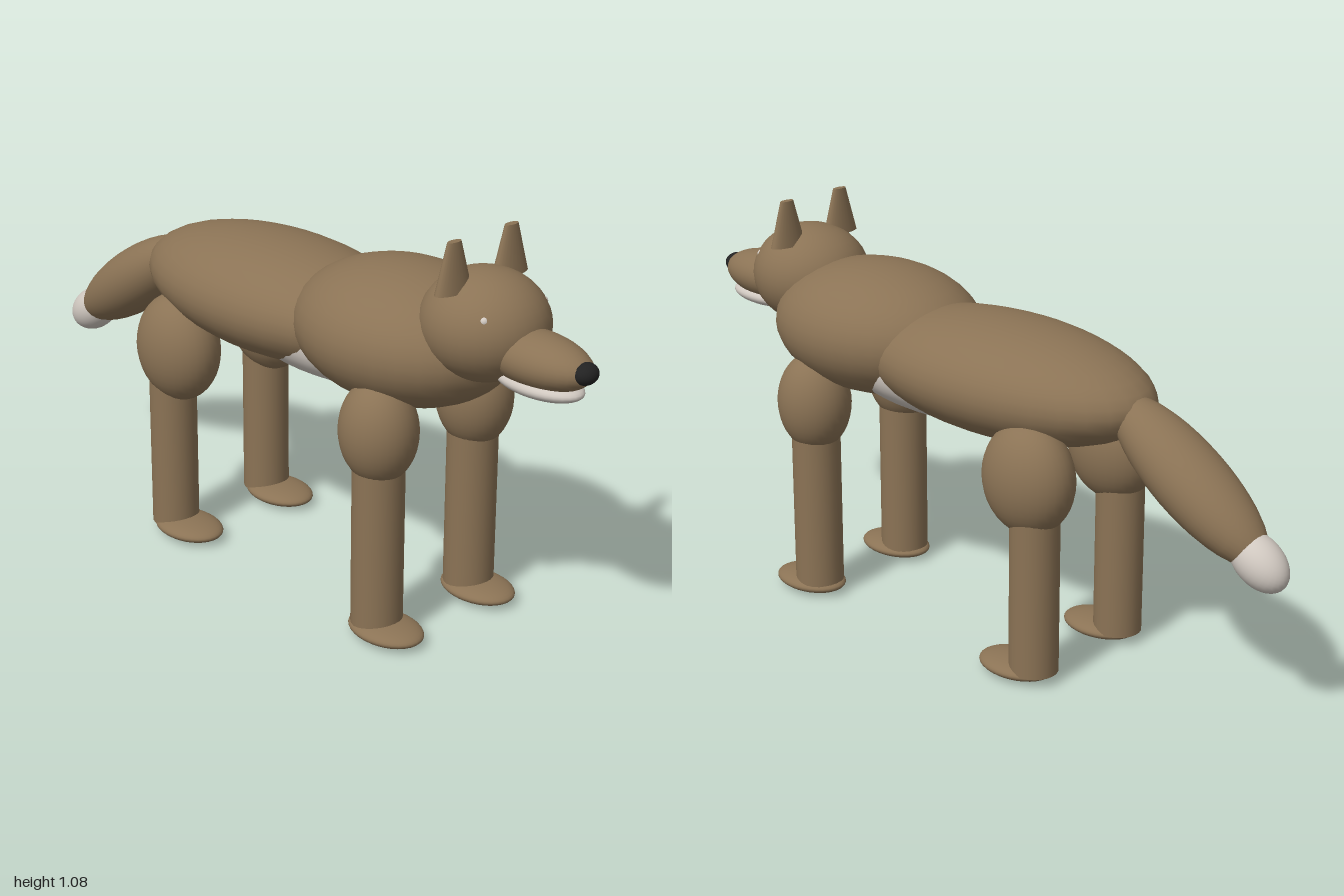
import * as THREE from 'three';

function paint(name, color) {
  const m = new THREE.MeshStandardMaterial({ color });
  m.name = name;
  return m;
}

export function createModel() {
  const model = new THREE.Group();
  model.name = 'fox';
  const fur = paint('brown fur', 0x8b7355);
  const pale = paint('pale fur', 0xd0c8c0);
  const dark = paint('dark nose', 0x222222);
  const ball = new THREE.SphereGeometry(1, 32, 20);

  function add(name, geometry, material, position, scale = [1, 1, 1], tilt = 0) {
    const mesh = new THREE.Mesh(geometry, material);
    mesh.name = name;
    mesh.position.set(...position);
    mesh.scale.set(...scale);
    mesh.rotation.x = tilt;
    model.add(mesh);
  }
  const egg = (name, material, position, radii, tilt) => add(name, ball, material, position, radii, tilt);

  // Trunk
  egg('body', fur, [0, 0.738, -0.09], [0.24, 0.153, 0.47]);
  egg('chest', fur, [0, 0.767, 0.38], [0.25, 0.178, 0.32]);
  egg('belly', pale, [0, 0.70, 0.13], [0.185, 0.12, 0.38]);

  // Head
  egg('head', fur, [0, 0.86, 0.65], [0.16, 0.14, 0.165]);
  egg('muzzle', fur, [0, 0.82, 0.82], [0.085, 0.067, 0.165]);
  egg('lowerJaw', pale, [0, 0.762, 0.83], [0.071, 0.031, 0.13]);
  egg('nose', dark, [0, 0.826, 0.97], [0.035, 0.027, 0.03]);

  // Tail, sloping down to the back
  const slope = -0.595;
  egg('tail', fur, [0, 0.607, -0.70], [0.1, 0.09, 0.28], slope);
  egg('tailTip', pale, [0, 0.455, -0.918], [0.06, 0.06, 0.09], slope);

  // Mirrored ears, eyes and legs
  const earShape = new THREE.CylinderGeometry(0.022, 0.058, 0.125, 24);
  const legShape = new THREE.CylinderGeometry(1, 1, 1, 24);
  for (const [side, s] of [['left', 1], ['right', -1]]) {
    add(side + 'Ear', earShape, fur, [s * 0.098, 1.0225, 0.635], [1, 1, 0.45]);
    egg(side + 'Eye', pale, [s * 0.102, 0.916, 0.742], [0.012, 0.012, 0.012]);

    egg(side + 'Shoulder', fur, [s * 0.17, 0.567, 0.465], [0.098, 0.138, 0.105]);
    add(side + 'FrontLeg', legShape, fur, [s * 0.168, 0.25, 0.465], [0.067, 0.44, 0.067]);
    egg(side + 'FrontFoot', fur, [s * 0.168, 0.028, 0.5], [0.08, 0.026, 0.112]);

    egg(side + 'Thigh', fur, [s * 0.165, 0.555, -0.32], [0.1, 0.15, 0.133]);
    add(side + 'HindLeg', legShape, fur, [s * 0.168, 0.25, -0.345], [0.065, 0.44, 0.065]);
    egg(side + 'HindFoot', fur, [s * 0.168, 0.028, -0.287], [0.08, 0.026, 0.112]);
  }
  return model;
}
